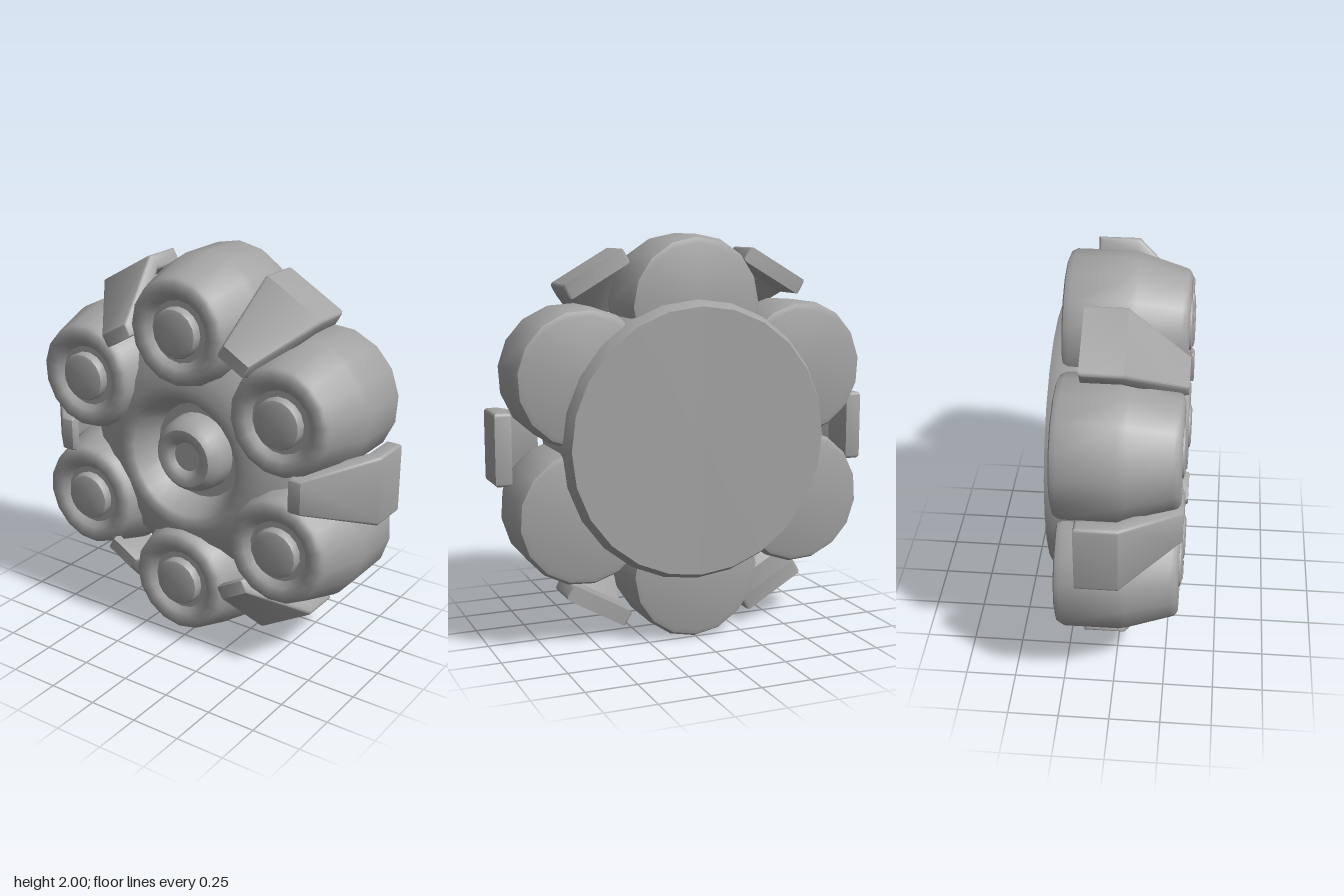
import * as THREE from 'three';
import { toCreasedNormals } from 'three/addons/utils/BufferGeometryUtils.js';

const grey = new THREE.MeshStandardMaterial({ color: 0xa3a3a3 });
grey.name = 'grey';

// Turned part whose axis faces the front; profile points are [radius, z].
function turned(points, sides) {
  const geo = new THREE.LatheGeometry(points.map(([r, z]) => new THREE.Vector2(r, z)), sides);
  geo.rotateX(Math.PI / 2);
  return toCreasedNormals(geo, 0.7);
}

// Bent clamp plate: side profile [radius, z] extruded, then narrowed to the front tip.
function clampGeometry() {
  const shape = new THREE.Shape([
    [0.90, -0.155], [0.98, -0.155], [0.98, 0.045], [0.715, 0.325], [0.65, 0.325], [0.65, 0.275], [0.90, 0.03],
  ].map(([r, z]) => new THREE.Vector2(r, z)));
  const bevel = 0.018, half = 0.177;
  const geo = new THREE.ExtrudeGeometry(shape, {
    depth: 2 * (half - bevel), bevelEnabled: true, bevelSize: bevel,
    bevelThickness: bevel, bevelOffset: -bevel, bevelSegments: 3,
  });
  geo.translate(0, 0, -(half - bevel));
  geo.rotateX(Math.PI / 2);
  const p = geo.attributes.position;
  for (let i = 0; i < p.count; i++) {
    const t = THREE.MathUtils.clamp((p.getZ(i) - 0.045) / 0.28, 0, 1);
    p.setY(i, p.getY(i) * (1 - 0.52 * t));
  }
  return toCreasedNormals(geo, 0.7);
}

export function createModel() {
  const model = new THREE.Group();
  const wheel = new THREE.Group();
  wheel.name = 'wheel';
  wheel.position.y = 1;
  model.add(wheel);

  const add = (name, geo, parent = wheel) => {
    const mesh = new THREE.Mesh(geo, grey);
    mesh.name = name;
    parent.add(mesh);
    return mesh;
  };

  // Core: flat back plate, domed front, round groove and hub knob with a dimple
  add('core', turned([
    [0, -0.325], [0.66, -0.325], [0.69, -0.27], [0.69, 0.05], [0.64, 0.11], [0.57, 0.18],
    [0.46, 0.24], [0.38, 0.26], [0.33, 0.26], [0.31, 0.245], [0.25, 0.11], [0.20, 0.11],
    [0.19, 0.19], [0.175, 0.225], [0.15, 0.25], [0.115, 0.25], [0.095, 0.24], [0.075, 0.215], [0, 0.215],
  ], 24));

  // Pod: barrel tapering to the front, with a sunken ring around a raised button
  const podGeo = turned([
    [0, -0.27], [0.30, -0.27], [0.325, -0.262], [0.34, -0.235], [0.34, 0.03], [0.332, 0.07],
    [0.27, 0.275], [0.262, 0.297], [0.24, 0.312], [0.20, 0.312], [0.18, 0.302], [0.155, 0.275], [0.125, 0.275],
  ], 16);
  const buttonGeo = turned([[0.125, 0.27], [0.125, 0.305], [0.118, 0.318], [0.10, 0.324], [0, 0.324]], 16);
  const clampGeo = clampGeometry();

  for (let i = 0; i < 6; i++) {
    const angle = i * Math.PI / 3;

    const pod = new THREE.Group();
    pod.name = 'pod' + (i + 1);
    pod.rotation.z = angle;
    pod.position.set(-Math.sin(angle) * 0.66, Math.cos(angle) * 0.66, 0);
    wheel.add(pod);
    add('podBody', podGeo, pod);
    add('podButton', buttonGeo, pod);

    // Clamps sit between neighbouring pods
    add('clamp' + (i + 1), clampGeo).rotation.z = angle;
  }
  return model;
}
